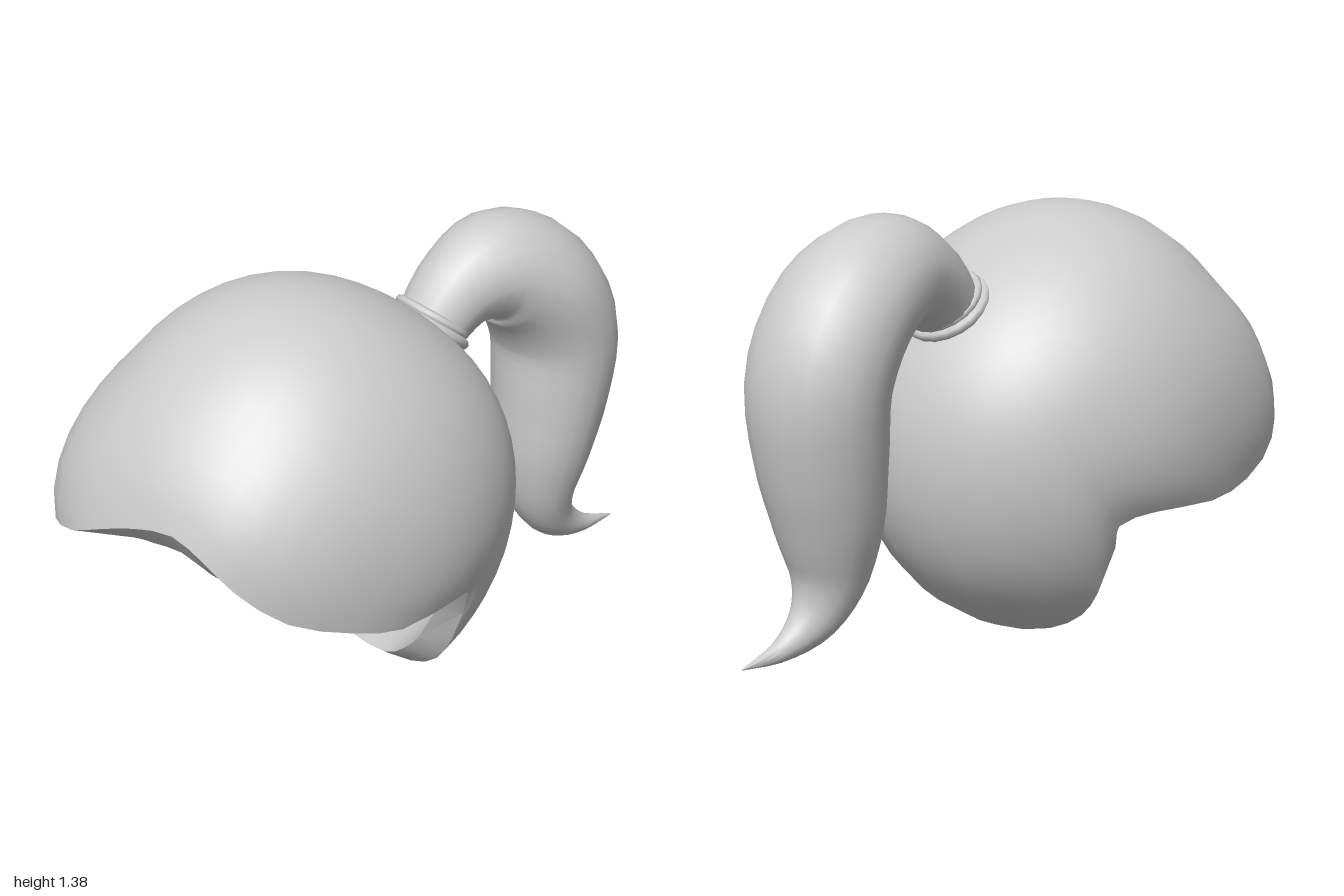
import * as THREE from 'three';
import { toCreasedNormals } from 'three/addons/utils/BufferGeometryUtils.js';

const V = (x, y, z) => new THREE.Vector3(x, y, z);
const material = new THREE.MeshStandardMaterial({ color: 0xcccccc, side: THREE.DoubleSide });

// Skin a list of closed rings of points
function skin(rows, crease) {
  const n = rows[0].length, pos = [], index = [];
  rows.forEach(row => row.forEach(p => pos.push(p.x, p.y, p.z)));
  for (let r = 0; r < rows.length - 1; r++) {
    for (let c = 0; c < n; c++) {
      const a = r * n + c, b = r * n + (c + 1) % n;
      index.push(a, b, a + n, b, b + n, a + n);
    }
  }
  const g = new THREE.BufferGeometry();
  g.setAttribute('position', new THREE.Float32BufferAttribute(pos, 3));
  g.setIndex(index);
  return toCreasedNormals(g, crease);
}

function part(name, geometry) {
  const m = new THREE.Mesh(geometry, material);
  m.name = name;
  return m;
}

const centre = V(0, 0.65, 0.3);
const pole = V(0, 0.78, -0.62).normalize();
const brow = V(0, 0.72, 0.69).normalize();
const nape = V(0, -0.62, -0.78).normalize();

// Edge of the opening: front, right side, nape, left side
const outerRim = [
  [0, 0.77, 0.985], [-0.15, 0.70, 0.995], [-0.36, 0.62, 0.935], [-0.49, 0.55, 0.82], [-0.55, 0.47, 0.6],
  [-0.575, 0.45, 0.38], [-0.54, 0.46, 0.14], [-0.49, 0.43, 0.03], [-0.46, 0.32, 0.02], [-0.41, 0.2, 0.03],
  [-0.34, 0.11, 0.04], [-0.22, 0.04, 0.03], [0, 0, 0.02], [0.22, 0.04, 0.03], [0.36, 0.13, 0.04],
  [0.42, 0.23, 0.03], [0.49, 0.43, 0.03], [0.55, 0.48, 0.12], [0.58, 0.48, 0.35], [0.57, 0.53, 0.52],
  [0.51, 0.6, 0.7], [0.43, 0.71, 0.82], [0.36, 0.79, 0.87], [0.26, 0.84, 0.905], [0.13, 0.82, 0.95],
];
const innerRim = [
  [0, 0.70, 0.87], [-0.15, 0.655, 0.9], [-0.3, 0.6, 0.84], [-0.38, 0.56, 0.72], [-0.43, 0.51, 0.55],
  [-0.46, 0.47, 0.36], [-0.46, 0.46, 0.16], [-0.445, 0.44, 0.09], [-0.42, 0.33, 0.1], [-0.36, 0.22, 0.11],
  [-0.3, 0.16, 0.12], [-0.2, 0.1, 0.12], [0, 0.08, 0.12], [0.2, 0.1, 0.12], [0.3, 0.17, 0.12],
  [0.36, 0.24, 0.11], [0.445, 0.44, 0.09], [0.46, 0.48, 0.14], [0.46, 0.48, 0.32], [0.45, 0.51, 0.45],
  [0.41, 0.56, 0.6], [0.35, 0.63, 0.72], [0.29, 0.69, 0.8], [0.2, 0.735, 0.84], [0.1, 0.73, 0.87],
];

// Skull radius along a direction: squarer low at the front, flatter crown and brow, fuller nape
function skullRadius(d) {
  const low = THREE.MathUtils.clamp(1 - 1.5 * d.y, 0, 1);
  const p = 2 + 1.4 * Math.max(0, d.z) * low;
  const r = (Math.abs(d.x / 0.61) ** p + (Math.hypot(d.y, d.z) / 0.698) ** p) ** (-1 / p);
  const lobe = (axis, power) => Math.max(0, d.dot(axis)) ** power;
  return r * (1 - 0.06 * lobe(pole, 6) - 0.025 * lobe(brow, 6) + 0.025 * lobe(nape, 8));
}

// Rings sweeping from the crown to a rim
function domeRows(rim, steps, scale) {
  const curve = new THREE.CatmullRomCurve3(rim.map(p => V(...p)), true);
  const n = rim.length * 2, rows = [];
  for (let r = 0; r <= steps; r++) {
    const t = r / steps, row = [];
    for (let c = 0; c < n; c++) {
      const u = curve.getPoint(c / n).sub(centre), length = u.length();
      u.divideScalar(length);
      const angle = u.angleTo(pole), s = Math.sin(angle);
      const d = pole.clone().multiplyScalar(Math.sin((1 - t) * angle) / s)
        .addScaledVector(u, Math.sin(t * angle) / s).normalize();
      const base = skullRadius(d) * scale;
      const fit = 1 + (length / (skullRadius(u) * scale) - 1) * t ** 8;
      row.push(d.multiplyScalar(base * fit).add(centre));
    }
    rows.push(row);
  }
  return rows;
}

// Ponytail: centre line (x, y, z), radius, sideways stretch
const tailLine = [
  [0, 1.05, -0.19, 0.105, 1.1], [0, 1.165, -0.315, 0.138, 1.05], [0.005, 1.2, -0.45, 0.178, 1.05],
  [0.01, 1.12, -0.61, 0.195, 1.15], [0.01, 0.94, -0.715, 0.2, 1.14], [0.015, 0.72, -0.71, 0.19, 1.1],
  [0.02, 0.5, -0.68, 0.16, 1.08], [0.025, 0.33, -0.68, 0.115, 1.05], [0.03, 0.22, -0.735, 0.078, 1],
  [0.04, 0.15, -0.85, 0.036, 1], [0.045, 0.13, -1.0, 0.002, 1],
];

function tailRows(steps, sides) {
  const path = new THREE.CatmullRomCurve3(tailLine.map(p => V(p[0], p[1], p[2])));
  const sizes = new THREE.CatmullRomCurve3(tailLine.map((p, i) => V(p[3], i * 0.1, p[3] * p[4])));
  const rows = [];
  for (let r = 0; r <= steps; r++) {
    const t = r / steps, p = path.getPoint(t), size = sizes.getPoint(t);
    const side = V(1, 0, 0), up = side.clone().cross(path.getTangent(t)).normalize();
    const row = [];
    for (let c = 0; c < sides; c++) {
      const a = c / sides * Math.PI * 2, cos = Math.cos(a);
      // The outer back of the tail is a little narrower than its middle
      const width = size.z * (1 - 0.06 * Math.max(0, cos));
      row.push(p.clone().addScaledVector(up, size.x * cos).addScaledVector(side, width * Math.sin(a)));
    }
    rows.push(row);
  }
  return rows;
}

export function createModel() {
  const model = new THREE.Group();
  model.name = 'ponytailHair';

  // Cap of hair: outer dome, thick rim, inner dome
  const cap = [...domeRows(outerRim, 18, 1), ...domeRows(innerRim, 12, 0.87).reverse()];
  model.add(part('hairCap', skin(cap, 0.7)));

  model.add(part('ponytail', skin(tailRows(36, 20), 1.0)));

  // Hair tie: two stacked rings around the root of the tail
  const tie = new THREE.Group();
  tie.name = 'hairTie';
  [[0.122, 0.018, 0], [0.112, 0.014, 0.026]].forEach(([radius, tube, offset], i) => {
    const ring = part(i ? 'upperRing' : 'lowerRing', new THREE.TorusGeometry(radius, tube, 8, 20));
    ring.position.z = offset;
    ring.scale.x = 1.04;
    tie.add(ring);
  });
  tie.position.set(0, 1.07, -0.2);
  tie.rotation.x = -Math.atan2(pole.y, pole.z);
  model.add(tie);

  return model;
}
